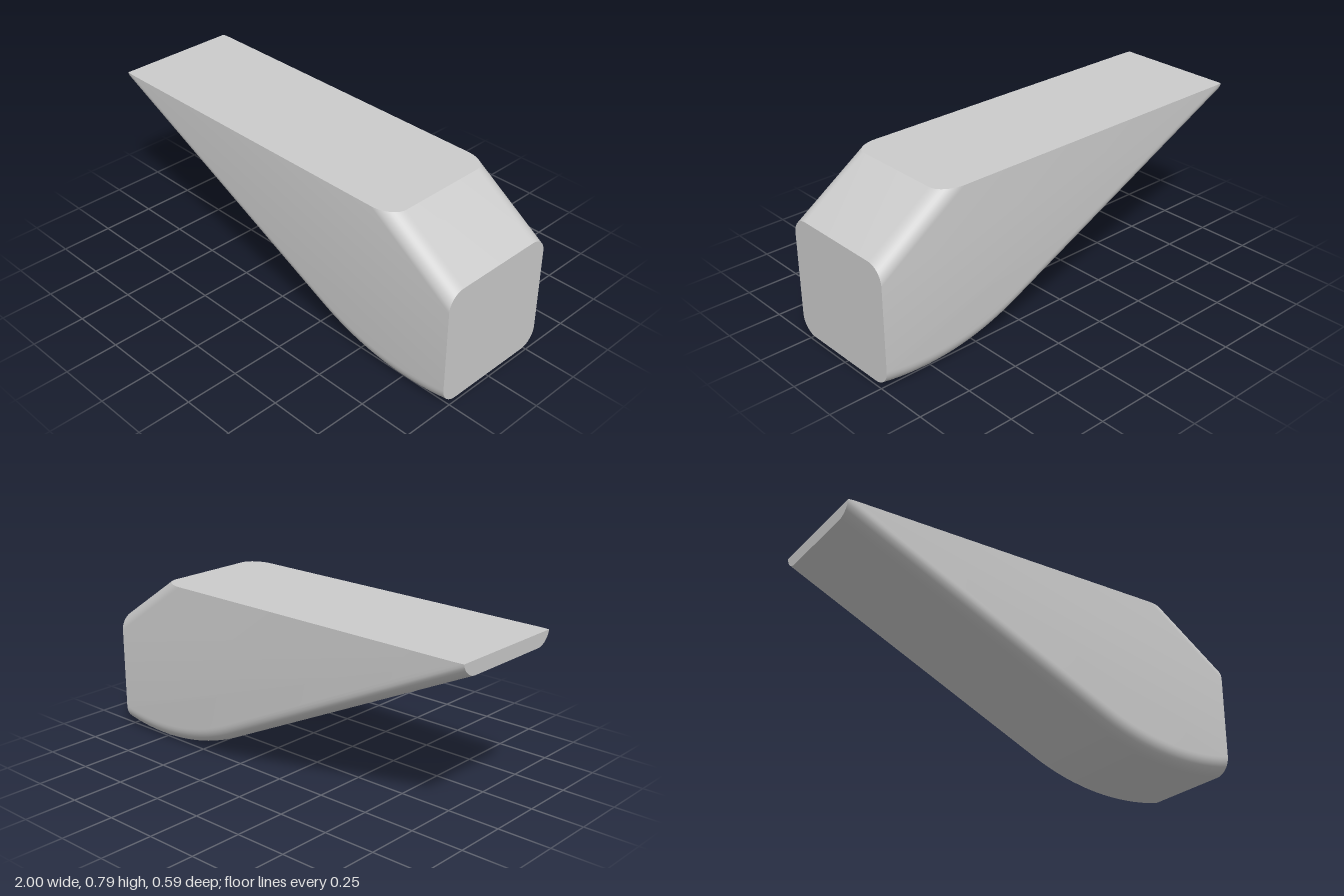
import * as THREE from 'three';
import { toCreasedNormals } from 'three/addons/utils/BufferGeometryUtils.js';

const TOP = 0.787, HALF = 0.294, R = 0.08;      // height, half width, edge rounding
const ARC = 1.12, ARC_X = 0.78, TAN_X = 0.3;    // belly arc and where it meets the straight underside
const CHAMFER_X = 0.69, CHAMFER_END = 0.575;

const arcY = (x) => ARC - Math.sqrt(ARC * ARC - (x - ARC_X) ** 2);
const slope = (ARC_X - TAN_X) / Math.sqrt(ARC * ARC - (ARC_X - TAN_X) ** 2);
const bottomY = (x) => (x > TAN_X ? arcY(x) : arcY(TAN_X) + (TAN_X - x) * slope);

// Closed side outline, counter-clockwise, pulled in by "inset" at the rounded edges
function outline(inset) {
  const startX = Math.max(-1, TAN_X - (TOP - 0.003 - inset - arcY(TAN_X)) / slope);
  const pts = [[startX, TOP], [startX, bottomY(startX) + inset]];
  const n = 16;
  for (let i = 0; i <= n; i++) {
    const x = TAN_X + ((1 - TAN_X) * i) / n;
    pts.push([x, bottomY(x) + inset]);
  }
  const fall = (TOP - CHAMFER_END) / (1 - CHAMFER_X);
  pts.push([1, CHAMFER_END - inset], [CHAMFER_X - inset / fall, TOP]);
  return pts;
}

function wedgeBody() {
  // Slices across the width, close together in the rounded edges
  const steps = 10, slices = [];
  for (const side of [-1, 1]) {
    for (let i = 0; i <= steps; i++) {
      const a = ((side < 0 ? steps - i : i) / steps) * Math.PI / 2;
      const z = side * (HALF - R + R * Math.sin(a));
      slices.push(outline(R * (1 - Math.cos(a))).map(([x, y]) => [x, y, z]));
    }
  }
  const pos = [];
  const tri = (a, b, c) => pos.push(...a, ...b, ...c);
  const count = slices[0].length;
  for (let s = 0; s < slices.length - 1; s++) {
    const p = slices[s], q = slices[s + 1];
    for (let k = 0; k < count; k++) {
      const m = (k + 1) % count;
      tri(p[k], p[m], q[m]);
      tri(p[k], q[m], q[k]);
    }
  }
  // Flat side walls
  const back = slices[0], front = slices[slices.length - 1];
  for (let k = 1; k < count - 1; k++) {
    tri(front[0], front[k], front[k + 1]);
    tri(back[0], back[k + 1], back[k]);
  }
  const geo = new THREE.BufferGeometry();
  geo.setAttribute('position', new THREE.Float32BufferAttribute(pos, 3));
  return toCreasedNormals(geo, 0.4);
}

export function createModel() {
  const group = new THREE.Group();
  const body = new THREE.Mesh(wedgeBody(), new THREE.MeshStandardMaterial({ color: 0xcccccc }));
  body.name = 'wedgeBody';
  group.add(body);
  return group;
}
